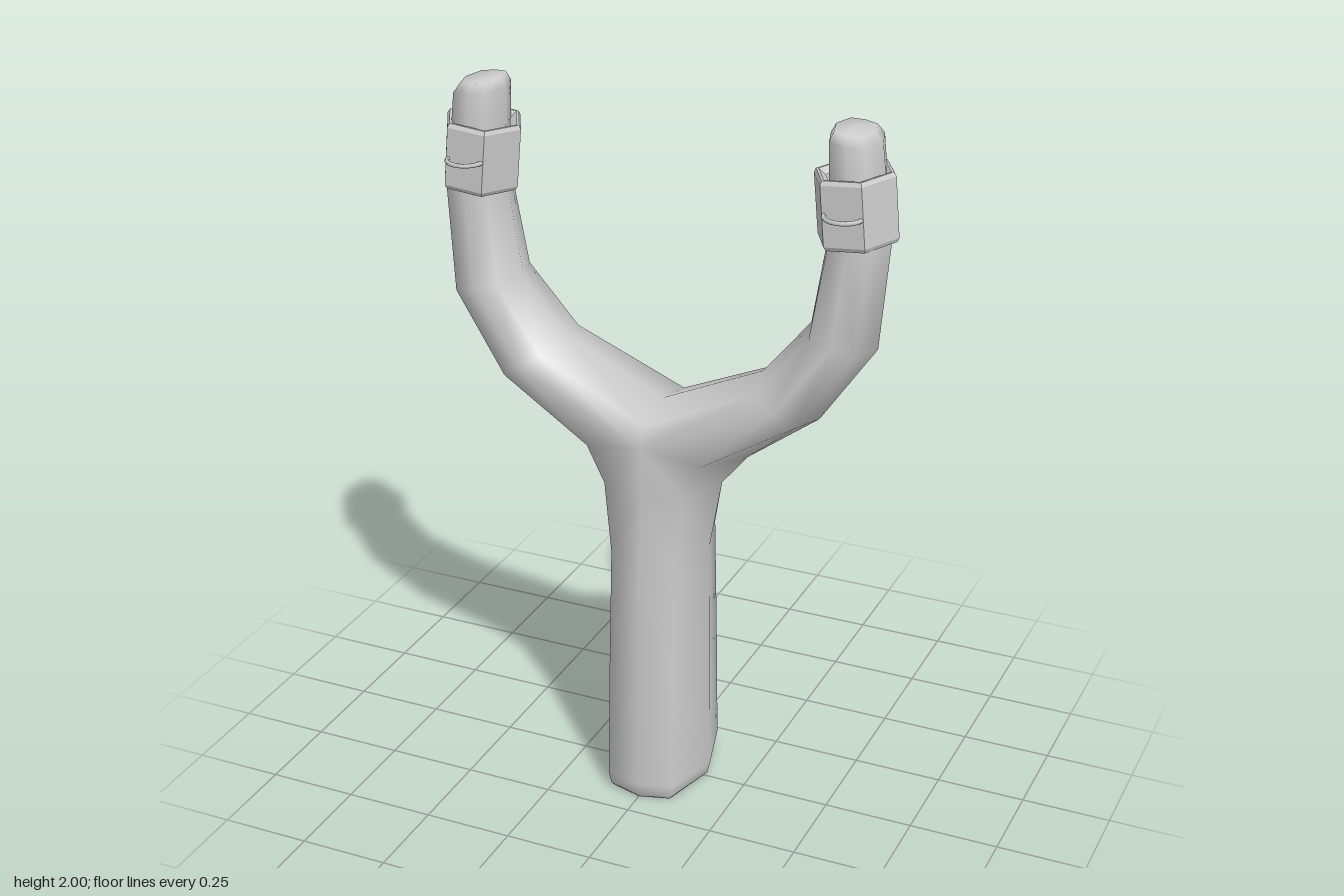
import * as THREE from 'three';
import { mergeVertices } from 'three/addons/utils/BufferGeometryUtils.js';

const grey = () => new THREE.MeshStandardMaterial({ color: 0xcccccc });

// Eight-sided section: +a points outwards, +b to the front
const RING = [[1, 0], [0.68, 0.86], [0, 1], [-0.68, 0.86], [-1, 0], [-0.68, -0.86], [0, -1], [0.68, -0.86]];

// Half of a handle section; its inner points lie on the x = 0 plane
const handleSection = (y, w, d) => RING.map(([a, b]) => [Math.max(0, a) * w, y, b * d]);

// Arm section between an outer and an inner point of the outline
const armSection = (ox, oy, ix, iy, d) => RING.map(([a, b]) => [
  (ox + ix) / 2 + a * (ox - ix) / 2,
  (oy + iy) / 2 + a * (oy - iy) / 2,
  b * d,
]);

// Section where the handle splits into the two arms
const forkSection = () => RING.map(([a, b]) => [
  Math.max(0, a) * 0.245,
  a > 0 ? 1.085 - 0.045 * a : 1.085 - 0.085 * a,
  b * 0.157,
]);

function forkGeometry() {
  const sections = [
    handleSection(0, 0.125, 0.175),
    handleSection(0.012, 0.136, 0.185),
    handleSection(0.05, 0.145, 0.19),
    handleSection(0.4, 0.141, 0.181),
    handleSection(0.75, 0.137, 0.166),
    handleSection(0.95, 0.172, 0.153),
    forkSection(),
    armSection(0.445, 1.19, 0.285, 1.3, 0.137),
    armSection(0.598, 1.415, 0.415, 1.46, 0.112),
    armSection(0.622, 1.7, 0.455, 1.71, 0.091),
    armSection(0.6, 1.88, 0.455, 1.87, 0.086),
    armSection(0.59, 1.965, 0.452, 1.975, 0.085),
    armSection(0.57, 1.99, 0.465, 2, 0.07),
  ];
  const pos = [];
  // Adds a triangle and its mirror image, leaving out the hidden centre wall
  const tri = (a, b, c) => {
    if (a[0] === 0 && b[0] === 0 && c[0] === 0) return;
    pos.push(...a, ...b, ...c);
    for (const p of [a, c, b]) pos.push(p[0] === 0 ? 0 : -p[0], p[1], p[2]);
  };
  const last = sections.length - 1;
  for (let k = 0; k < 8; k++) {
    const n = (k + 1) % 8;
    for (let i = 0; i < last; i++) {
      const lo = sections[i], hi = sections[i + 1];
      tri(lo[k], hi[k], hi[n]);
      tri(lo[k], hi[n], lo[n]);
    }
    tri([0, 0, 0], sections[0][k], sections[0][n]);
    tri([0.517, 1.997, 0], sections[last][n], sections[last][k]);
  }
  const geometry = new THREE.BufferGeometry();
  geometry.setAttribute('position', new THREE.Float32BufferAttribute(pos, 3));
  const merged = mergeVertices(geometry, 1e-4);
  merged.computeVertexNormals();
  return merged;
}

// Hexagonal sleeve with bevelled rims, corners towards the sides
function cuffGeometry() {
  const profile = [
    [0.078, -0.075], [0.096, -0.091], [0.103, -0.091], [0.109, -0.08],
    [0.109, 0.08], [0.103, 0.091], [0.096, 0.091], [0.078, 0.075],
  ].map(([r, y]) => new THREE.Vector2(r, y));
  const geometry = new THREE.LatheGeometry(profile, 6, Math.PI / 2).toNonIndexed();
  geometry.scale(1, 1, 1.09);
  geometry.computeVertexNormals();
  return geometry;
}

export function createModel() {
  const model = new THREE.Group();
  model.name = 'slingshot';

  // Handle and both arms in one smooth skin
  const fork = new THREE.Mesh(forkGeometry(), grey());
  fork.name = 'forkedHandle';
  model.add(fork);

  const cuffMaterial = grey();
  cuffMaterial.flatShading = true;
  cuffMaterial.side = THREE.DoubleSide;
  const cuffShape = cuffGeometry();
  const loopShape = new THREE.TorusGeometry(0.05, 0.006, 6, 10, Math.PI);
  loopShape.rotateX(Math.PI / 2);

  for (const side of [1, -1]) {
    // Cuff leans inwards with the arm
    const cuffGroup = new THREE.Group();
    cuffGroup.name = side > 0 ? 'leftCuff' : 'rightCuff';
    cuffGroup.position.set(side * 0.526, 1.795, 0);

    const cuff = new THREE.Mesh(cuffShape, cuffMaterial);
    cuff.name = 'cuff';
    cuff.rotation.z = side * 0.09;
    cuffGroup.add(cuff);

    // Wire loop for the band
    const loop = new THREE.Mesh(loopShape, grey());
    loop.name = 'bandLoop';
    loop.position.z = 0.095;
    cuffGroup.add(loop);

    model.add(cuffGroup);
  }
  return model;
}
